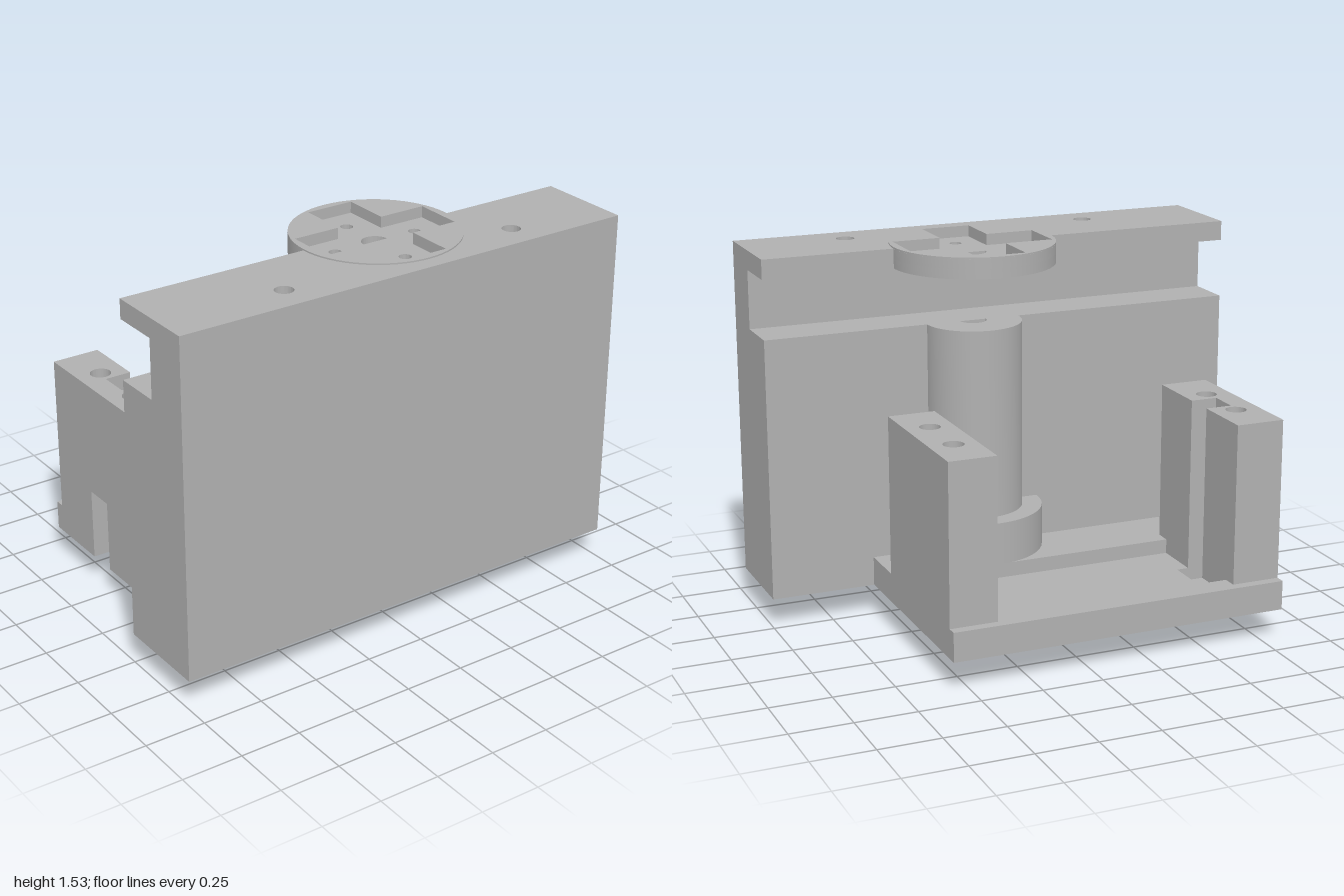
import * as THREE from 'three';
import { toCreasedNormals } from 'three/addons/utils/BufferGeometryUtils.js';

// Shared axis of the dial, column and shaft
const CX = 0.125, CZ = 0.25;

export function createModel() {
  const model = new THREE.Group();
  const grey = new THREE.MeshStandardMaterial({ color: 0xb0b0b0 });
  grey.name = 'grey';

  const add = (name, geometry) => {
    const mesh = new THREE.Mesh(geometry, grey);
    mesh.name = name;
    model.add(mesh);
    return mesh;
  };
  // Box given by its limits
  const box = (name, x0, x1, y0, y1, z0, z1) =>
    add(name, new THREE.BoxGeometry(x1 - x0, y1 - y0, z1 - z0))
      .position.set((x0 + x1) / 2, (y0 + y1) / 2, (z0 + z1) / 2);
  // Plan outlines are drawn in (x, z) and extruded vertically from y0 to y1
  const poly = (pts) => new THREE.Shape(pts.map(([x, z]) => new THREE.Vector2(x, z)));
  const rect = (x0, x1, z0, z1) => poly([[x0, z0], [x1, z0], [x1, z1], [x0, z1]]);
  const circle = (x, z, r) => new THREE.Shape().absarc(x, z, r, 0, Math.PI * 2, false);
  const halfRound = () => new THREE.Shape().absarc(CX, CZ, 0.055, Math.PI, Math.PI * 2, false);
  const slab = (name, shape, holes, y0, y1) => {
    shape.holes = holes;
    const g = new THREE.ExtrudeGeometry(shape, { depth: y1 - y0, bevelEnabled: false, curveSegments: 32 });
    g.rotateX(Math.PI / 2).translate(0, y1, 0);
    return add(name, toCreasedNormals(g, 0.6));
  };
  const rod = (name, r, y0, y1) =>
    add(name, new THREE.CylinderGeometry(r, r, y1 - y0, 48)).position.set(CX, (y0 + y1) / 2, CZ);

  // Front wall with a groove along its back
  box('wall', -1, 1, 0.125, 1.2, 0.25, 0.65);
  box('wallNeck', -1, 1, 1.2, 1.44, 0.45, 0.65);

  // Top flange merged with the round dial
  const flange = () => {
    const s = new THREE.Shape();
    s.moveTo(-1, 0.25);
    s.lineTo(CX - 0.335, 0.25);
    s.absarc(CX, CZ, 0.335, Math.PI, Math.PI * 2, false);
    s.lineTo(1, 0.25);
    s.lineTo(1, 0.65);
    s.lineTo(-1, 0.65);
    s.closePath();
    return s;
  };
  const a = 0.102, b = 0.302;
  const cross = () => poly([[-a, -b], [a, -b], [a, -a], [b, -a], [b, a], [a, a],
    [a, b], [-a, b], [-a, a], [-b, a], [-b, -a], [-a, -a]].map(([x, z]) => [x + CX, z + CZ]));
  const screws = () => [circle(-0.48, 0.52, 0.037), circle(0.57, 0.52, 0.037)];
  const pins = [[0, -0.188], [0, 0.188], [-0.188, 0], [0.188, 0]]
    .map(([x, z]) => circle(CX + x, CZ + z, 0.025));
  slab('flangeFloor', flange(), [...screws(), ...pins, halfRound()], 1.44, 1.48);
  slab('flangeTop', flange(), [...screws(), cross()], 1.48, 1.52);
  slab('dialRim', circle(CX, CZ, 0.335), [cross()], 1.52, 1.526);

  // Column with its half-round socket, collar and lower shaft
  slab('column', circle(CX, CZ, 0.198), [halfRound()], 0.42, 1.2);
  rod('collar', 0.28, 0.245, 0.42);
  rod('shaftBoss', 0.08, 0.117, 0.126);
  rod('shaft', 0.048, 0, 0.13);

  // Base plate with an open cable slot on its right edge
  slab('basePlate', poly([[-0.83, -0.65], [0.57, -0.65], [0.57, 0.25], [-0.83, 0.25],
    [-0.83, -0.225], [-0.58, -0.225], [-0.58, -0.35], [-0.83, -0.35]]), [], 0.125, 0.185);
  // Raised rim around the sunken floor
  box('baseBackRim', -0.83, 0.57, 0.185, 0.245, -0.65, -0.55);
  box('baseFrontRim', -0.83, 0.57, 0.185, 0.245, -0.025, 0.25);
  box('baseLeftRim', 0.375, 0.57, 0.185, 0.245, -0.55, -0.025);
  box('baseRightRimBack', -0.83, -0.63, 0.185, 0.245, -0.55, -0.35);
  box('baseRightRimFront', -0.83, -0.63, 0.185, 0.245, -0.225, -0.025);

  // Left tower with two blind holes
  const towerHoles = (x) => [-0.41, -0.16].map((z) => circle(x, z, 0.042));
  box('leftTower', 0.375, 0.57, 0.245, 0.65, -0.61, 0.04);
  slab('leftTowerTop', rect(0.375, 0.57, -0.61, 0.04), towerHoles(0.47), 0.65, 0.9);

  // Right tower: split at the foot, channelled on its inner face above
  box('rightTowerFootBack', -0.83, -0.63, 0.245, 0.425, -0.61, -0.35);
  box('rightTowerFootFront', -0.83, -0.63, 0.245, 0.425, -0.225, 0.04);
  const channelled = () => poly([[-0.83, -0.61], [-0.63, -0.61], [-0.63, -0.35], [-0.74, -0.35],
    [-0.74, -0.225], [-0.63, -0.225], [-0.63, 0.04], [-0.83, 0.04]]);
  slab('rightTower', channelled(), [], 0.425, 0.65);
  slab('rightTowerTop', channelled(), towerHoles(-0.73), 0.65, 0.9);

  return model;
}
